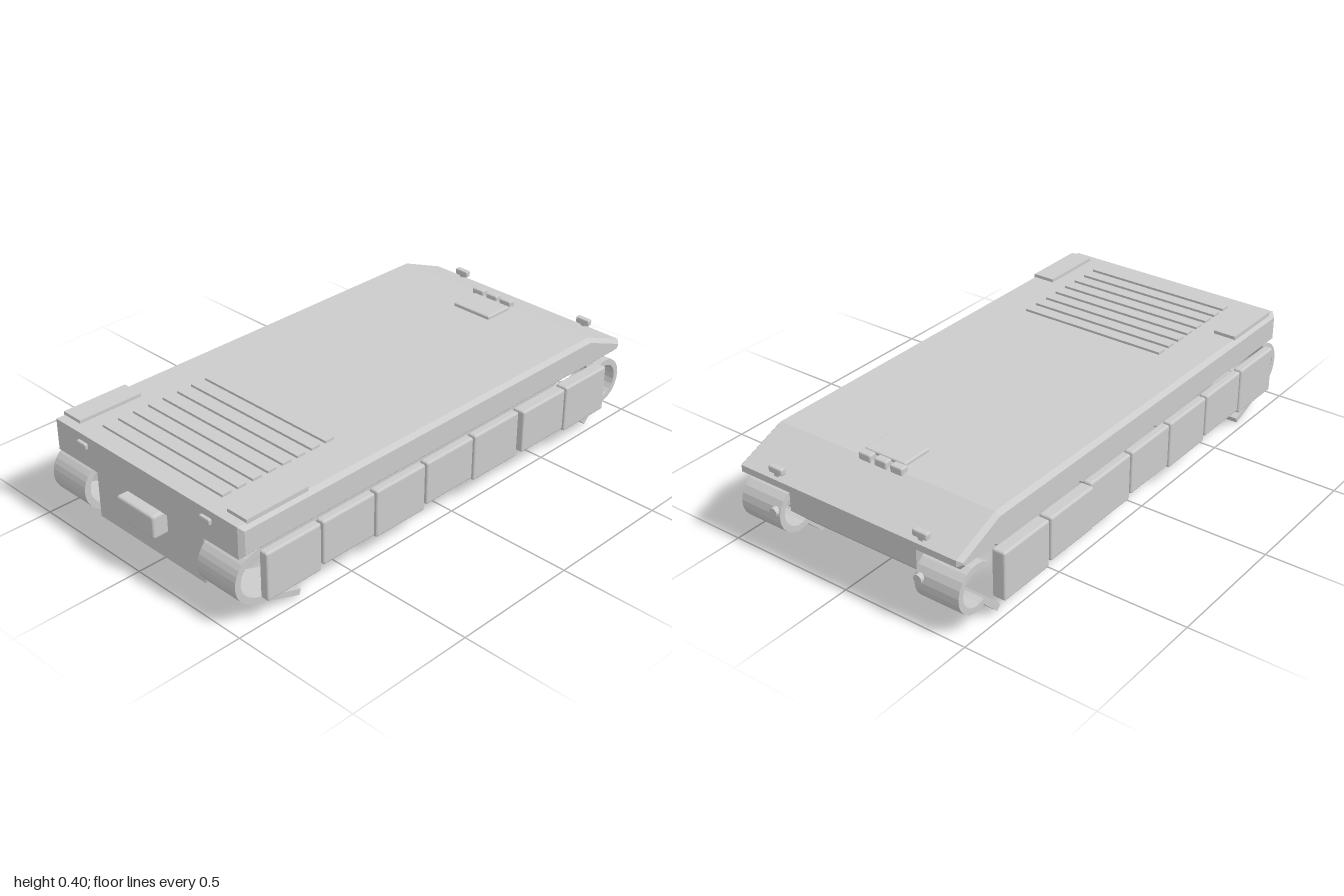
import * as THREE from 'three';
import { RoundedBoxGeometry } from 'three/addons/geometries/RoundedBoxGeometry.js';

const grey = new THREE.MeshStandardMaterial({ color: 0xcccccc, flatShading: true });

function add(parent, name, geometry, x = 0, y = 0, z = 0) {
  const mesh = new THREE.Mesh(geometry, grey);
  mesh.name = name;
  mesh.position.set(x, y, z);
  parent.add(mesh);
  return mesh;
}

// Side profile of [z, y] points, extruded across x to a total width, with bevelled sides
function sideExtrude(points, width, bevel = 0) {
  const shape = new THREE.Shape(points.map(([z, y]) => new THREE.Vector2(z, y)));
  const depth = width - 2 * bevel;
  const geometry = new THREE.ExtrudeGeometry(shape, {
    depth, bevelEnabled: bevel > 0, bevelSize: bevel, bevelThickness: bevel,
    bevelOffset: -bevel, bevelSegments: 1,
  });
  geometry.translate(0, 0, -depth / 2);
  geometry.rotateY(-Math.PI / 2);
  return geometry;
}

// Curved band around (z, y), from angle a0 to a1 in degrees
function bandProfile(z, y, outer, inner, a0, a1, steps = 14) {
  const rim = (r) => Array.from({ length: steps + 1 }, (_, i) => {
    const a = THREE.MathUtils.degToRad(a0 + (a1 - a0) * i / steps);
    return [z + r * Math.cos(a), y + r * Math.sin(a)];
  });
  return [...rim(outer), ...rim(inner).reverse()];
}

// Straight plate between two [z, y] points
function plateProfile([z0, y0], [z1, y1], thickness) {
  const len = Math.hypot(z1 - z0, y1 - y0);
  const nz = -(y1 - y0) / len * thickness / 2;
  const ny = (z1 - z0) / len * thickness / 2;
  return [[z0 + nz, y0 + ny], [z1 + nz, y1 + ny], [z1 - nz, y1 - ny], [z0 - nz, y0 - ny]];
}

export function createModel() {
  const model = new THREE.Group();
  model.name = 'trackedHull';

  // Upper hull with sloped end, and narrower lower hull
  add(model, 'upperHull', sideExtrude(
    [[0.957, 0.262], [0.957, 0.383], [-0.79, 0.383], [-0.985, 0.305], [-0.985, 0.28], [-0.965, 0.262]], 0.954, 0.016));
  add(model, 'lowerHull', sideExtrude(
    [[0.94, 0.066], [0.94, 0.268], [-0.955, 0.268], [-0.955, 0.18], [-0.84, 0.066]], 0.58, 0.016));

  // Box on the front plate
  add(model, 'frontBox', new RoundedBoxGeometry(0.188, 0.09, 0.075, 2, 0.01), 0, 0.218, 0.9625);

  // Grille slats on the deck
  const grille = new THREE.Group();
  grille.name = 'deckGrille';
  model.add(grille);
  for (let i = 0; i < 8; i++) {
    add(grille, 'grilleSlat', new THREE.BoxGeometry(0.61, 0.02, 0.038), 0, 0.382, 0.407 + i * 0.0648);
  }

  // Hatch with a row of three vision blocks
  add(model, 'hatch', new RoundedBoxGeometry(0.175, 0.025, 0.125, 2, 0.006), 0.017, 0.384, -0.7);
  for (const x of [-0.068, 0, 0.068]) {
    add(model, 'visionBlock', new RoundedBoxGeometry(0.052, 0.03, 0.032, 2, 0.006), x, 0.39, -0.79);
  }

  for (const side of [-1, 1]) {
    const half = new THREE.Group();
    half.name = side > 0 ? 'leftSide' : 'rightSide';
    model.add(half);

    add(half, 'cornerPad', new THREE.BoxGeometry(0.09, 0.025, 0.262), side * 0.42, 0.383, 0.79);

    // Skirt panels; the two at the rear are thicker
    for (let i = 0; i < 7; i++) {
      const thick = i > 4 ? 0.052 : 0.036;
      const bottom = i % 2 ? 0.102 : 0.087;
      add(half, 'skirtPanel', new RoundedBoxGeometry(thick, 0.271 - bottom, 0.238, 2, 0.008),
        side * (0.475 + thick / 2), (0.271 + bottom) / 2, 0.766 - i * 0.246);
    }

    // Curved guards with angled flaps
    const x = side * 0.382;
    add(half, 'frontGuard', sideExtrude(bandProfile(0.885, 0.17, 0.1, 0.076, 95, -72), 0.178), x);
    add(half, 'frontFlap', sideExtrude(plateProfile([0.914, 0.085], [0.71, 0.013], 0.022), 0.178), x);
    add(half, 'rearGuard', sideExtrude(bandProfile(-0.9, 0.157, 0.09, 0.067, 50, 300), 0.178), x);
    add(half, 'rearFlap', sideExtrude(plateProfile([-0.86, 0.088], [-0.79, 0.017], 0.025), 0.178), x);

    // Lamps front and rear, and a tow stud on the rear guard
    add(half, 'frontLamp', new RoundedBoxGeometry(0.05, 0.024, 0.026, 2, 0.006), side * 0.315, 0.344, 0.955);
    add(half, 'rearLamp', new RoundedBoxGeometry(0.06, 0.026, 0.024, 2, 0.006), side * 0.31, 0.334, -0.967);
    add(half, 'rearLampStalk', new THREE.BoxGeometry(0.02, 0.035, 0.012), side * 0.31, 0.312, -0.967);
    const stud = add(half, 'towStud', new THREE.CylinderGeometry(0.017, 0.017, 0.03, 12), side * 0.314, 0.18, -0.985);
    stud.rotation.x = Math.PI / 2;
  }
  return model;
}
